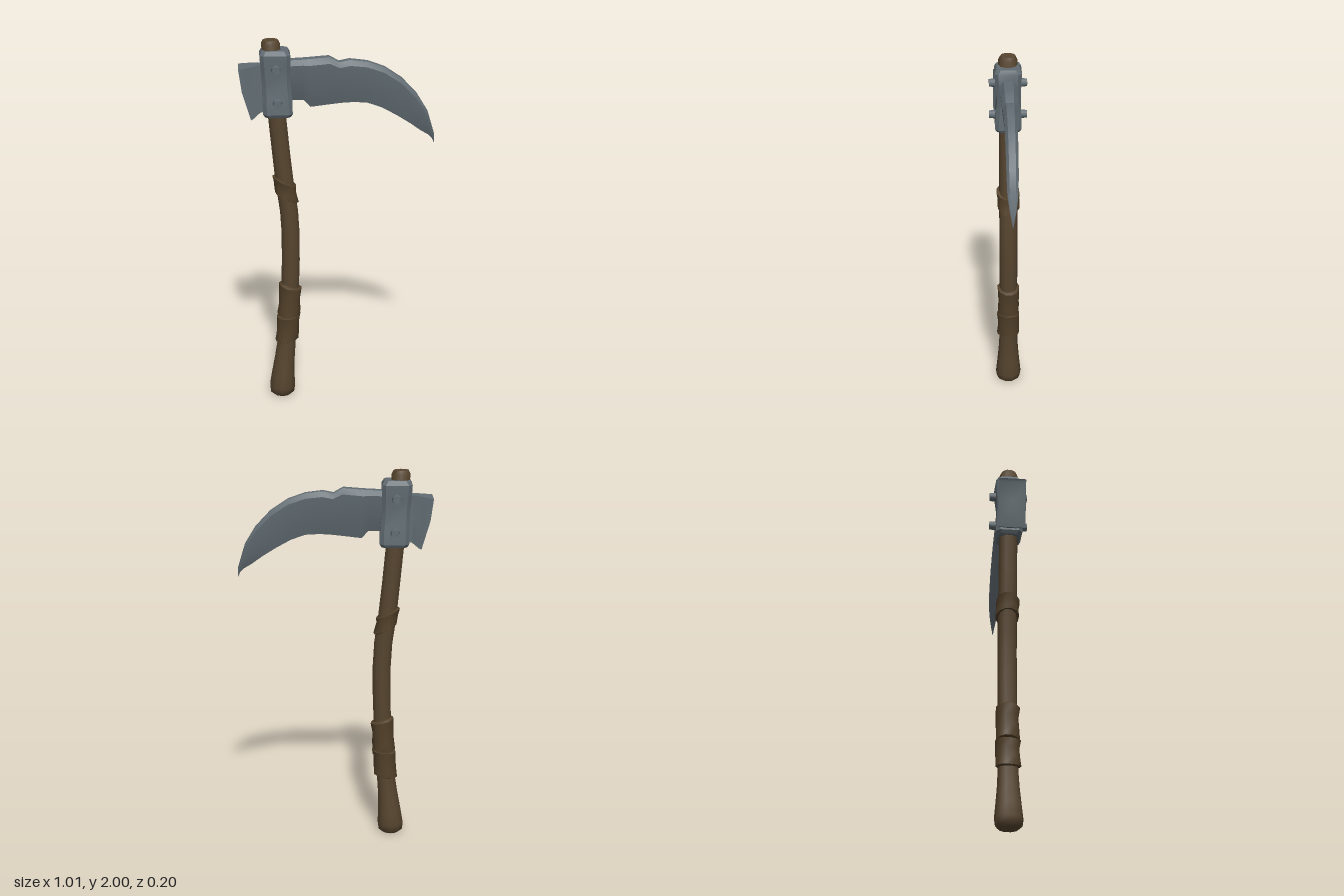
import * as THREE from 'three';
import { toCreasedNormals } from 'three/addons/utils/BufferGeometryUtils.js';

const steel = new THREE.MeshStandardMaterial({ color: 0x616c72 });
steel.name = 'steel';
const wood = new THREE.MeshStandardMaterial({ color: 0x57452f });
wood.name = 'wood';
const leather = new THREE.MeshStandardMaterial({ color: 0x524029 });
leather.name = 'leather';

// Skin a list of equal-length rings of [x, y, z], closing both ends
function loft(rings, crease) {
  const n = rings[0].length, last = rings.length - 1;
  const pos = rings.flat(2), index = [];
  for (let i = 0; i < last; i++) {
    for (let j = 0; j < n; j++) {
      const k = (j + 1) % n, a = i * n, b = a + n;
      index.push(a + j, a + k, b + k, a + j, b + k, b + j);
    }
  }
  for (const end of [0, last]) {
    const c = pos.length / 3;
    for (let m = 0; m < 3; m++) pos.push(rings[end].reduce((s, p) => s + p[m], 0) / n);
    for (let j = 0; j < n; j++) {
      const p = end * n + j, q = end * n + (j + 1) % n;
      if (end) index.push(p, q, c); else index.push(q, p, c);
    }
  }
  const g = new THREE.BufferGeometry();
  g.setAttribute('position', new THREE.Float32BufferAttribute(pos, 3));
  g.setIndex(index);
  return toCreasedNormals(g, crease);
}

function add(parent, name, geometry, material) {
  const mesh = new THREE.Mesh(geometry, material);
  mesh.name = name;
  parent.add(mesh);
  return mesh;
}

// Handle stations: height, centre x, radius
const HANDLE = [
  [0, -0.31, 0.05], [0.015, -0.31, 0.067], [0.05, -0.309, 0.072], [0.12, -0.304, 0.065],
  [0.22, -0.294, 0.056], [0.34, -0.28, 0.05], [0.5, -0.267, 0.049], [0.65, -0.259, 0.049],
  [0.8, -0.254, 0.05], [0.95, -0.253, 0.05], [1.08, -0.26, 0.05], [1.22, -0.279, 0.05],
  [1.4, -0.297, 0.049], [1.6, -0.315, 0.049], [1.8, -0.33, 0.049], [1.98, -0.342, 0.05],
  [2, -0.343, 0.04],
];

function handleX(y) {
  const i = Math.max(1, HANDLE.findIndex((s) => s[0] >= y));
  const [a, b] = [HANDLE[i - 1], HANDLE[i]];
  return THREE.MathUtils.mapLinear(y, a[0], b[0], a[1], b[1]);
}

// Ring round the handle; tilt lifts its +x side
function ring(y, x, r, tilt = 0, wobble = 0, sides = 10) {
  return Array.from({ length: sides }, (_, j) => {
    const a = (j + 0.5) / sides * Math.PI * 2;
    const rr = r + wobble * Math.sin(3 * a + y * 40);
    return [x + rr * Math.cos(a), y + tilt * Math.cos(a), -rr * Math.sin(a)];
  });
}

function wrap(y0, y1, r, tilt) {
  const rows = [[0, 0.82], [0.04, 1], [0.35, 0.97], [0.65, 0.95], [0.95, 1.02], [1, 0.8]];
  return loft(rows.map(([t, s]) => {
    const y = y0 + (y1 - y0) * t;
    return ring(y, handleX(y), r * s, tilt, 0.003, 12);
  }), 0.8);
}

// Chamfered rectangular section of the socket
function socketRing(y, x, hx, hz) {
  const c = 0.02;
  return [[hx, hz - c], [hx, c - hz], [hx - c, -hz], [c - hx, -hz],
    [-hx, c - hz], [-hx, hz - c], [c - hx, hz], [hx - c, hz]].map(([px, pz]) => [x + px, y, pz]);
}

export function createModel() {
  const model = new THREE.Group();
  model.name = 'warSickle';

  // Crooked handle and its wrappings
  add(model, 'handle', loft(HANDLE.map(([y, x, r]) => ring(y, x, r)), 0.9), wood);
  add(model, 'lowerWrap', wrap(0.325, 0.48, 0.064, 0.008), leather);
  add(model, 'middleWrap', wrap(0.46, 0.655, 0.061, -0.015), leather);
  add(model, 'upperWrap', wrap(1.155, 1.25, 0.062, -0.028), leather);

  // Socket, slightly pinched between the bolts
  const socket = [
    [1.605, -0.31, 0.066, 0.06], [1.622, -0.311, 0.076, 0.07], [1.7, -0.313, 0.076, 0.068],
    [1.78, -0.317, 0.073, 0.058], [1.86, -0.32, 0.076, 0.068], [1.93, -0.322, 0.078, 0.071],
    [1.952, -0.322, 0.066, 0.06],
  ];
  add(model, 'socket', loft(socket.map((s) => socketRing(...s)), 0.5), steel);

  // Bolt heads on both faces
  for (const [x, y] of [[-0.319, 1.86], [-0.313, 1.685]]) {
    for (const side of [1, -1]) {
      const bolt = add(model, 'bolt', new THREE.CylinderGeometry(0.021, 0.027, 0.05, 8), steel);
      bolt.rotation.x = side * Math.PI / 2;
      bolt.position.set(x, y, side * 0.075);
    }
  }

  // Flared hammer behind the socket: top, middle and bottom corners of each section
  const hammer = [
    [[-0.5, 1.85], [-0.488, 1.75], [-0.452, 1.61], 0.066],
    [[-0.508, 1.862], [-0.493, 1.75], [-0.449, 1.6], 0.075],
    [[-0.47, 1.868], [-0.46, 1.75], [-0.435, 1.605], 0.06],
    [[-0.41, 1.876], [-0.41, 1.75], [-0.4, 1.63], 0.036],
    [[-0.34, 1.87], [-0.34, 1.75], [-0.34, 1.64], 0.034],
  ];
  add(model, 'hammer', loft(hammer.map(([t, m, b, z]) => [
    [...t, -z], [...t, z], [...m, z], [...b, z], [...b, -z], [...m, -z],
  ]), 0.5), steel);

  // Curved blade: spine x, y, cutting edge x, y, half thickness
  const blade = [
    [-0.3, 1.895, -0.3, 1.685, 0.046], [-0.18, 1.9, -0.175, 1.682, 0.046],
    [-0.15, 1.902, -0.142, 1.645, 0.045], [-0.045, 1.91, -0.03, 1.658, 0.042],
    [0.005, 1.882, 0.03, 1.664, 0.039], [0.06, 1.893, 0.08, 1.666, 0.037],
    [0.15, 1.882, 0.15, 1.662, 0.034], [0.24, 1.85, 0.225, 1.636, 0.032],
    [0.33, 1.79, 0.305, 1.592, 0.031], [0.41, 1.705, 0.375, 1.548, 0.03],
    [0.465, 1.615, 0.435, 1.505, 0.027], [0.488, 1.54, 0.475, 1.482, 0.018],
    [0.503, 1.49, 0.492, 1.465, 0.009], [0.505, 1.442, 0.503, 1.44, 0.001],
  ];
  add(model, 'blade', loft(blade.map(([tx, ty, bx, by, z]) => {
    const at = (f, pz) => [tx + (bx - tx) * f, ty + (by - ty) * f, pz];
    return [at(0.55, -z * 0.75), at(0.12, -z), at(0, -z * 0.55),
      at(0, z * 0.55), at(0.12, z), at(0.55, z * 0.75), at(1, 0)];
  }), 0.6), steel);

  return model;
}
